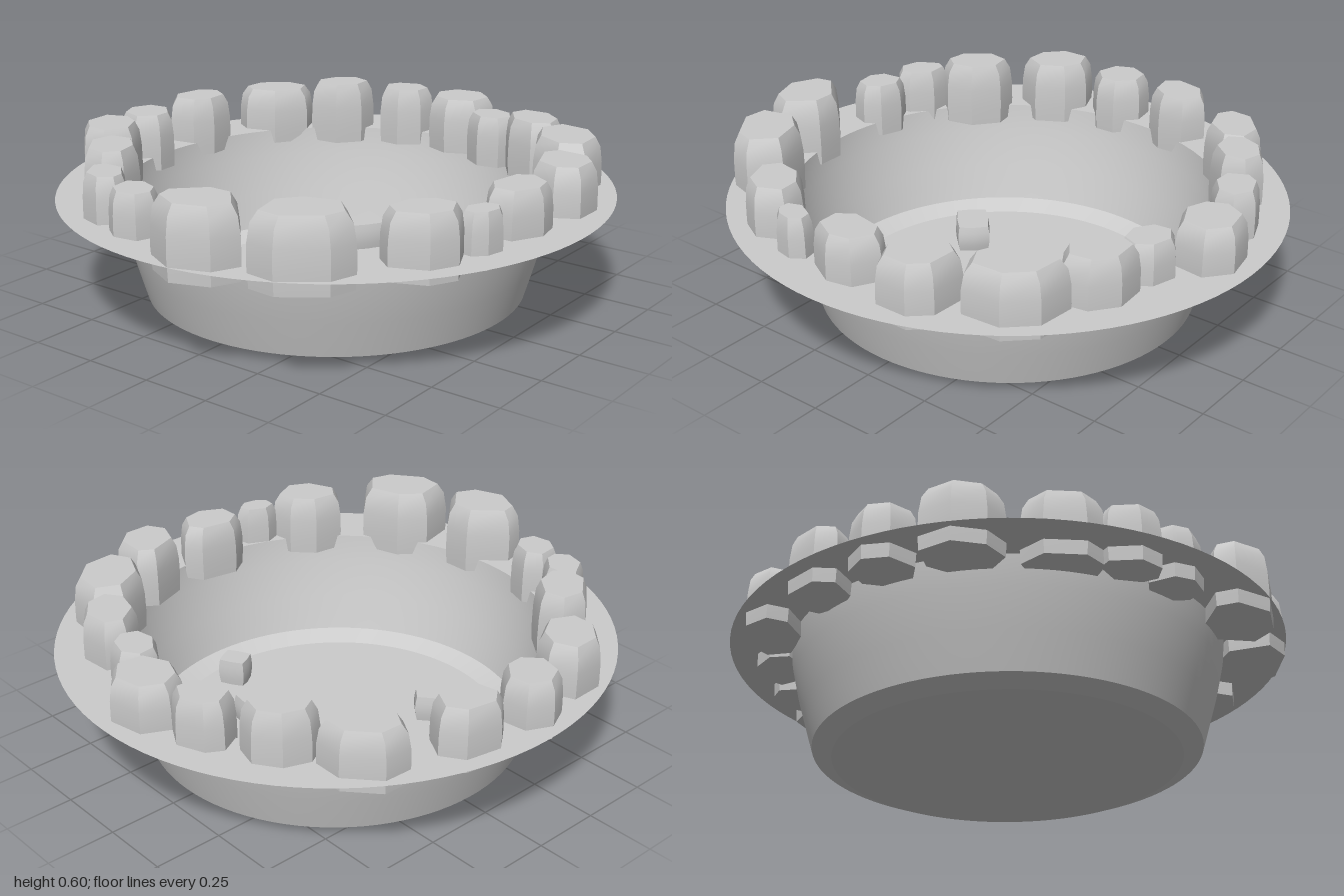
import * as THREE from 'three';
import { toCreasedNormals } from 'three/addons/utils/BufferGeometryUtils.js';

const grey = new THREE.MeshStandardMaterial({ color: 0xcccccc });
const sheet = new THREE.MeshStandardMaterial({ color: 0xcccccc, side: THREE.DoubleSide });

// Small seeded generator for the uneven stone outlines
let seed = 7;
const rand = () => (seed = (seed * 16807) % 2147483647) / 2147483647;

function addMesh(group, name, geometry, material) {
  const mesh = new THREE.Mesh(geometry, material);
  mesh.name = name;
  group.add(mesh);
  return mesh;
}

// Many-sided stone: one outline stacked in rings of [height share, scale], with flat caps
const STONE_RINGS = [[0, 0.97], [0.3, 1], [0.6, 0.99], [0.85, 0.93], [1, 0.78]];
function stoneGeometry(outline, height, rings = STONE_RINGS) {
  const pos = [], index = [], n = outline.length, last = rings.length * n;
  for (const [t, s] of rings) for (const [x, z] of outline) pos.push(x * s, t * height, z * s);
  pos.push(0, 0, 0, 0, height, 0);
  for (let i = 0; i < n; i++) {
    const j = (i + 1) % n;
    for (let r = 0; r < rings.length - 1; r++) {
      const a = r * n + i, b = r * n + j;
      index.push(a, a + n, b, b, a + n, b + n);
    }
    index.push(last, i, j, last + 1, last - n + j, last - n + i);
  }
  const g = new THREE.BufferGeometry();
  g.setAttribute('position', new THREE.Float32BufferAttribute(pos, 3));
  g.setIndex(index);
  return toCreasedNormals(g, 0.42);
}

// Rim stones: x, z, width, depth, top height
const RIM_STONES = [
  [-0.35, -0.77, 0.25, 0.25, 0.58], [-0.09, -0.835, 0.215, 0.21, 0.56],
  [0.19, -0.82, 0.24, 0.2, 0.57], [0.51, -0.69, 0.24, 0.26, 0.56],
  [0.66, -0.47, 0.22, 0.215, 0.585], [0.785, -0.245, 0.18, 0.21, 0.57],
  [0.835, -0.01, 0.235, 0.26, 0.56], [0.73, 0.195, 0.17, 0.2, 0.54],
  [0.685, 0.405, 0.215, 0.25, 0.57], [0.53, 0.63, 0.3, 0.29, 0.575],
  [0.26, 0.77, 0.25, 0.25, 0.57], [-0.035, 0.77, 0.26, 0.2, 0.56],
  [-0.275, 0.78, 0.155, 0.12, 0.54], [-0.46, 0.685, 0.245, 0.235, 0.575],
  [-0.75, 0.44, 0.29, 0.315, 0.6], [-0.865, 0.12, 0.25, 0.31, 0.6],
  [-0.805, -0.215, 0.17, 0.19, 0.55], [-0.75, -0.4, 0.175, 0.19, 0.56],
  [-0.58, -0.54, 0.245, 0.23, 0.59],
];

// Floor pebbles: x, z, width, depth, turn
const PEBBLES = [
  [-0.325, -0.195, 0.13, 0.17, 0.75], [0.28, -0.27, 0.18, 0.165, -0.05],
  [0.3, -0.425, 0.11, 0.105, 0.5], [0.445, -0.21, 0.14, 0.125, -0.6],
  [0.19, 0.215, 0.15, 0.14, -0.06], [0.075, 0.5, 0.095, 0.11, 0.5],
];
const PEBBLE_RINGS = [[0, 0.9], [0.25, 0.97], [0.5, 1], [0.75, 0.98], [1, 0.92]];

export function createModel() {
  const model = new THREE.Group();
  model.name = 'stoneRimmedBasin';

  // Thin-walled basin with a bevelled foot
  const profile = [[0, 0], [0.62, 0], [0.69, 0.03], [0.708, 0.09], [0.728, 0.16],
    [0.748, 0.23], [0.764, 0.3], [0.775, 0.35], [0.782, 0.4]]
    .map(([r, y]) => new THREE.Vector2(r, y));
  const basin = addMesh(model, 'basin', toCreasedNormals(new THREE.LatheGeometry(profile, 96), 0.35), sheet);
  basin.scale.z = 0.985;

  // Flat rim
  const ring = new THREE.RingGeometry(0.782, 1, 96).rotateX(-Math.PI / 2);
  const rim = addMesh(model, 'rim', ring, sheet);
  rim.position.y = 0.4;
  rim.scale.z = 0.985;

  // Stones set through the rim, long side following the circle
  const rimStones = new THREE.Group();
  rimStones.name = 'rimStones';
  model.add(rimStones);
  for (const [x, z, w, d, top] of RIM_STONES) {
    const skew = -x * z, phase = rand() * 6.28;
    const outline = [];
    for (let i = 0; i < 7; i++) {
      const a = phase + ((i + (rand() - 0.5) * 0.35) / 7) * Math.PI * 2;
      outline.push([0.515 * w * Math.cos(a), 0.515 * d * Math.sin(a + skew)]);
    }
    addMesh(rimStones, 'rimStone', stoneGeometry(outline, top - 0.35), grey).position.set(x, 0.35, z);
  }

  // Loose pebbles on the floor
  const pebbles = new THREE.Group();
  pebbles.name = 'floorPebbles';
  model.add(pebbles);
  for (const [x, z, w, d, turn] of PEBBLES) {
    const outline = [[0.5, 0], [0.46, 0.46], [0, 0.5], [-0.46, 0.46], [-0.5, 0], [-0.46, -0.46], [0, -0.5], [0.46, -0.46]]
      .map(([u, v]) => [u * w, v * d]);
    const pebble = addMesh(pebbles, 'pebble', stoneGeometry(outline, 0.1, PEBBLE_RINGS), grey);
    pebble.position.set(x, 0.002, z);
    pebble.rotation.y = turn;
  }
  return model;
}
